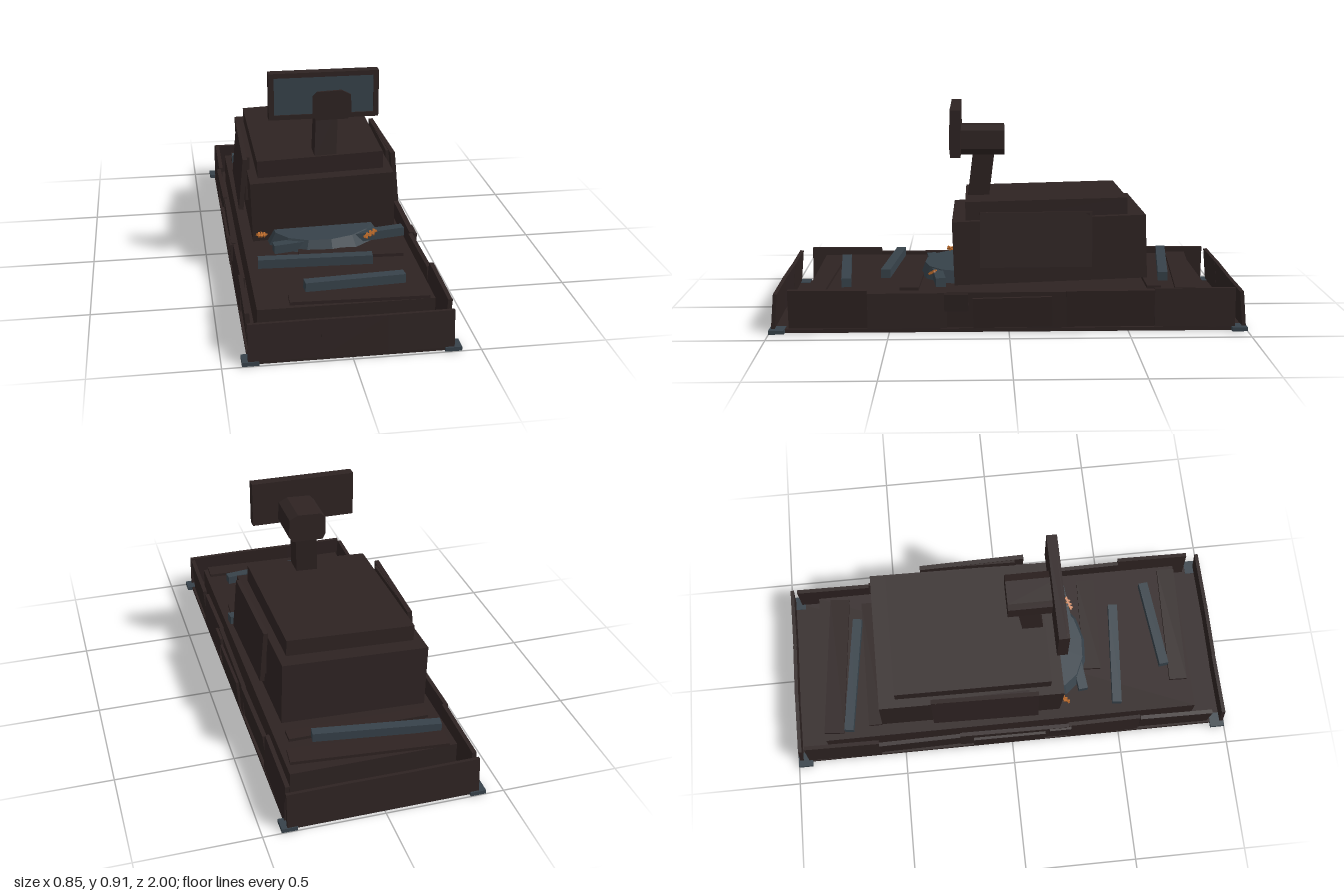
import * as THREE from 'three';

const paint = (name, color) => {
  const m = new THREE.MeshStandardMaterial({ color });
  m.name = name;
  return m;
};

export function createModel() {
  const brown = paint('charred brown', 0x2e2322);
  const slate = paint('slate steel', 0x37424a);
  const orange = paint('rust orange', 0xb8692a);
  const root = new THREE.Group();
  root.name = 'wreckedMachine';

  const add = (name, geo, mat, pos = [0, 0, 0], rot = [0, 0, 0]) => {
    const m = new THREE.Mesh(geo, mat);
    m.name = name;
    m.position.set(...pos);
    m.rotation.set(...rot);
    root.add(m);
    return m;
  };
  const box = (name, size, pos, rot, mat = brown) =>
    add(name, new THREE.BoxGeometry(...size), mat, pos, rot);

  // Beam lying between two points of the deck (x, z)
  const beam = (name, a, b, y, h, w, mat, roll = 0) => {
    const dx = b[0] - a[0], dz = b[1] - a[1];
    return box(name, [Math.hypot(dx, dz), h, w],
      [(a[0] + b[0]) / 2, y, (a[1] + b[1]) / 2], [0, -Math.atan2(dz, dx), roll], mat);
  };

  // Base plate, raised deck and corner feet
  box('basePlate', [0.8, 0.016, 1.97], [0, 0.008, 0]);
  box('deck', [0.7, 0.145, 1.7], [0, 0.083, 0]);
  for (const x of [-1, 1]) for (const z of [-1, 1])
    box('cornerFoot', [0.065, 0.017, 0.065], [x * 0.391, 0.0095, z * 0.967], [0, 0, 0], slate);

  // Front and back walls: three plates each, leaning inward
  const endPlates = [[-0.4, -0.12, 0.01], [-0.12, 0.135, -0.008], [0.135, 0.395, 0.012]];
  for (const s of [1, -1]) for (const [a, b, yaw] of endPlates)
    box(s > 0 ? 'frontWall' : 'backWall', [b - a, 0.152, 0.016],
      [s * (a + b) / 2, 0.091, s * (0.983 - Math.abs(yaw) * 0.3)], [-s * 0.09, yaw, 0]);

  // Side walls: five bent plates each [z start, z end, lean, top]
  const sidePlates = [
    [0.92, 0.59, 0.07, 0.182], [0.59, 0.26, -0.05, 0.165], [0.26, -0.24, 0.03, 0.17],
    [-0.24, -0.61, 0.09, 0.175], [-0.61, -0.95, -0.04, 0.18]];
  for (const s of [1, -1]) {
    sidePlates.forEach(([a, b, lean, top], i) =>
      box('sideWall', [0.018, top - 0.014, a - b],
        [s * 0.387, (top + 0.014) / 2, (a + b) / 2], [0, (i % 2 ? 1 : -1) * 0.012, -s * lean]));
    box('sidePatch', [0.012, 0.13, 0.33], [s * 0.403, 0.085, -0.015], [0.02, 0, -s * 0.08]);
    box('sidePatchSmall', [0.012, 0.075, 0.1], [s * 0.4, 0.128, 0.22], [0, 0, -s * 0.1]);
  }

  // Loose boards on the deck
  const boards = [
    [[-0.32, -0.81], [0.33, -0.75], 0.09], [[-0.3, -0.62], [0.3, -0.62], 0.06],
    [[-0.13, 0.4], [0.31, 0.42], 0.08], [[-0.22, 0.79], [0.33, 0.81], 0.08]];
  for (const [a, b, w] of boards) beam('looseBoard', a, b, 0.162, 0.014, w, brown);

  // Fallen steel bars
  const bars = [
    [[-0.32, -0.74], [0.21, -0.67], 0.183, 0.01], [[-0.31, 0.49], [0.16, 0.53], 0.187, 0.02],
    [[-0.15, 0.73], [0.26, 0.69], 0.182, -0.02], [[-0.23, 0.345], [0.34, 0.285], 0.186, 0.04]];
  for (const [a, b, y, roll] of bars) beam('steelBar', a, b, y, 0.038, 0.042, slate, roll);

  // Dented half-buried disc at the foot of the body
  const disc = new THREE.CylinderGeometry(0.22, 0.25, 0.05, 14);
  disc.scale(1, 1, 0.72);
  add('dentedDisc', disc.toNonIndexed(), slate, [0, 0.188, 0.205], [0.03, 0.1, 0.02])
    .geometry.computeVertexNormals();

  // Frayed wires, each a short crooked line with barbs
  for (const [x, y, z, yaw] of [[-0.27, 0.197, 0.25, 0.7], [0.19, 0.205, 0.325, 0.3]]) {
    const g = new THREE.Group();
    g.name = 'frayedWire';
    g.position.set(x, y, z);
    g.rotation.set(0, yaw, x < 0 ? -0.3 : 0.3);
    for (let i = 0; i < 4; i++) {
      const m = new THREE.Mesh(new THREE.BoxGeometry(i ? 0.03 : 0.065, 0.008, 0.008), orange);
      m.name = 'wireStrand';
      m.position.set(i ? (i - 2) * 0.017 : 0, 0, 0);
      m.rotation.set(0, i ? 0.9 : 0, i ? 0.4 : 0);
      g.add(m);
    }
    root.add(g);
  }

  // Body and top block, both sagging to one side
  box('body', [0.62, 0.27, 0.815], [0, 0.317, -0.175], [0.036, 0, 0.035]);
  box('topBlock', [0.546, 0.1, 0.685], [-0.004, 0.475, -0.162], [0.025, 0, 0.038]);

  // Hanging side panels with a second bent sheet behind
  for (const s of [1, -1]) {
    box('sidePanel', [0.02, 0.232, 0.47], [s * 0.33, 0.378, -0.115], [0, s * 0.02, s * 0.09]);
    box('innerPanel', [0.016, 0.2, 0.42], [s * 0.316, 0.39, -0.13], [0, -s * 0.02, s * 0.02]);
  }

  // Leaning neck: a box sheared along x and z
  const neck = new THREE.BoxGeometry(0.095, 0.22, 0.092);
  neck.applyMatrix4(new THREE.Matrix4().set(
    1, 0.05, 0, 0, 0, 1, 0, 0, 0, -0.12, 1, 0, 0, 0, 0, 1));
  neck.computeVertexNormals();
  add('neck', neck, brown, [0.023, 0.605, 0.114]);

  // Head with chipped corners, running through the display
  const head = new THREE.Shape([
    [-0.035, 0.703], [0.1, 0.705], [0.117, 0.73], [0.113, 0.81], [0.075, 0.83],
    [-0.028, 0.826], [-0.048, 0.805], [-0.048, 0.73]].map(p => new THREE.Vector2(...p)));
  add('head', new THREE.ExtrudeGeometry(head, { depth: 0.238, bevelEnabled: false }),
    brown, [0, 0, 0.012]);

  // Display panel, with raised rim and thin screen
  box('displayPanel', [0.462, 0.2, 0.034], [0, 0.81, 0.217]);
  for (const s of [1, -1]) {
    box('displayRimSide', [0.022, 0.2, 0.012], [s * 0.22, 0.81, 0.239]);
    box('displayRim', [0.418, 0.02, 0.012], [0, 0.81 + s * 0.09, 0.239]);
  }
  box('screen', [0.418, 0.16, 0.006], [0, 0.81, 0.2365], [0, 0, 0], slate);

  return root;
}
